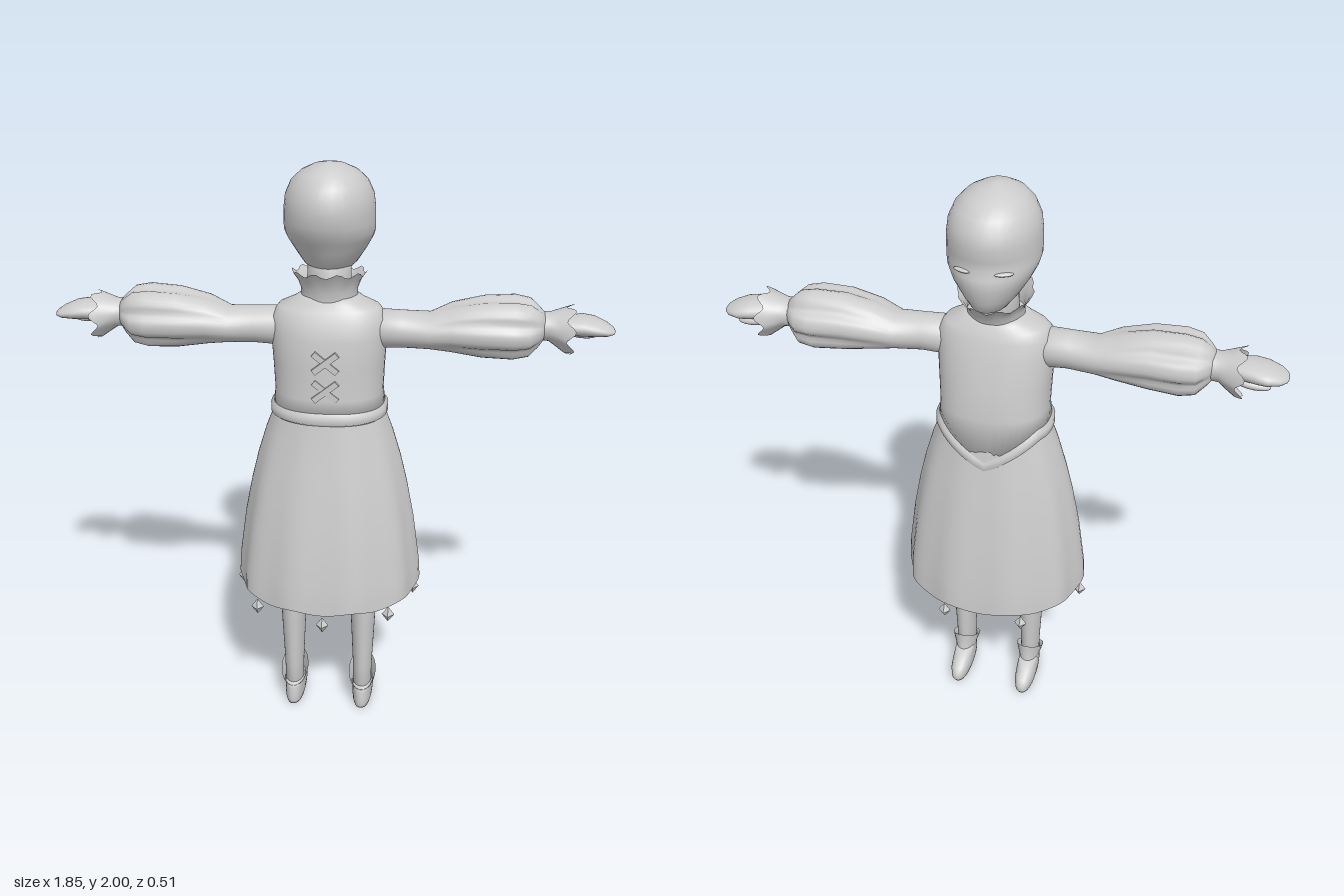
import * as THREE from 'three';

// Closed loft along y. Row: [y, halfWidthX, zBack(+), zFront(-), centreX].
// shape(a, t) may return [radius scale, y shift] for pleats and ruffles.
function loft(rows, { n = 32, p = 1, shape = () => [1, 0], caps = true } = {}) {
  const pos = [], idx = [], pw = v => Math.sign(v) * Math.abs(v) ** p;
  rows.forEach(([y, rx, zb, zf, cx = 0], r) => {
    for (let i = 0; i < n; i++) {
      const a = (i / n) * Math.PI * 2;
      const [s, dy] = shape(a, r / (rows.length - 1));
      pos.push(cx + pw(Math.cos(a)) * rx * s, y + dy, (zb + zf) / 2 + pw(Math.sin(a)) * (zb - zf) / 2 * s);
    }
  });
  for (let r = 0; r < rows.length - 1; r++) for (let i = 0; i < n; i++) {
    const a = r * n + i, b = r * n + (i + 1) % n;
    idx.push(a, a + n, b, b, a + n, b + n);
  }
  if (caps) [0, rows.length - 1].forEach(r => {
    const [y, , zb, zf, cx = 0] = rows[r], c = pos.length / 3;
    pos.push(cx, y, (zb + zf) / 2);
    for (let i = 0; i < n; i++) {
      const a = r * n + i, b = r * n + (i + 1) % n;
      r === 0 ? idx.push(c, a, b) : idx.push(c, b, a);
    }
  });
  const g = new THREE.BufferGeometry();
  g.setAttribute('position', new THREE.Float32BufferAttribute(pos, 3));
  g.setIndex(idx);
  g.computeVertexNormals();
  return g;
}

// Copy reflected across x = 0, with the corner order restored
function mirrored(g) {
  const m = g.clone().scale(-1, 1, 1), ix = m.index.array;
  for (let i = 0; i < ix.length; i += 3) [ix[i + 1], ix[i + 2]] = [ix[i + 2], ix[i + 1]];
  return m;
}

export function createModel() {
  const model = new THREE.Group();
  model.name = 'girlInDress';
  const grey = new THREE.MeshStandardMaterial({ color: 0xcccccc, side: THREE.DoubleSide });
  grey.name = 'plain grey';
  const add = (name, g) => {
    const m = new THREE.Mesh(g, grey);
    m.name = name;
    model.add(m);
    return m;
  };
  const pair = (name, g) => { add(name + 'Left', g); add(name + 'Right', mirrored(g)); };

  // Head with a brow dip and chin towards -z
  add('head', loft([
    [1.632, 0.03, -0.05, -0.14], [1.645, 0.06, 0.02, -0.165], [1.68, 0.09, 0.068, -0.182],
    [1.73, 0.122, 0.095, -0.196], [1.765, 0.14, 0.118, -0.194], [1.79, 0.147, 0.133, -0.183],
    [1.82, 0.147, 0.146, -0.188], [1.86, 0.146, 0.153, -0.194], [1.9, 0.141, 0.15, -0.188],
    [1.94, 0.123, 0.134, -0.164], [1.97, 0.093, 0.106, -0.122], [1.99, 0.054, 0.066, -0.07], [2, 0.012, 0.02, -0.015],
  ]));
  pair('eye', new THREE.SphereGeometry(1, 16, 8).scale(0.03, 0.006, 0.01).rotateY(-0.4).translate(0.065, 1.783, -0.169));
  add('neck', loft([[1.54, 0.075, 0.07, -0.075], [1.7, 0.07, 0.06, -0.075]]));

  // Ruffled collar, lower under the chin
  add('collar', loft([
    [1.565, 0.094, 0.08, -0.09], [1.6, 0.092, 0.082, -0.1], [1.635, 0.104, 0.096, -0.12], [1.66, 0.12, 0.112, -0.14],
  ], {
    n: 48, caps: false,
    shape: (a, t) => [1 + 0.03 * t * Math.cos(10 * a), t * (0.016 * Math.sin(a) - 0.012 + 0.008 * Math.cos(10 * a))],
  }));

  // Pointed waistline: drops to a V at the front
  const vee = a => -0.11 * Math.max(0, 1 - Math.abs(Math.cos(a)) / 0.85) * (Math.sin(a) < 0 ? 1 : 0);
  add('bodice', loft([
    [1.18, 0.19, 0.138, -0.17], [1.25, 0.182, 0.132, -0.162], [1.35, 0.186, 0.131, -0.15], [1.45, 0.192, 0.126, -0.128],
    [1.51, 0.189, 0.11, -0.112], [1.54, 0.165, 0.092, -0.1], [1.56, 0.12, 0.085, -0.09], [1.58, 0.09, 0.075, -0.08],
  ], { n: 48, p: 0.85, shape: (a, t) => [1, t === 0 ? vee(a) : 0] }));
  add('waistband', loft([
    [1.165, 0.188, 0.138, -0.168], [1.172, 0.198, 0.146, -0.177], [1.195, 0.198, 0.145, -0.176], [1.21, 0.184, 0.134, -0.166],
  ], { n: 48, p: 0.85, caps: false, shape: a => [1, vee(a)] }));

  // Pleated bell skirt with a wavy hem
  add('skirt', loft([
    [0.525, 0.322, 0.242, -0.255], [0.6, 0.318, 0.236, -0.25], [0.77, 0.295, 0.208, -0.226], [0.9, 0.27, 0.185, -0.206],
    [1.0, 0.246, 0.165, -0.19], [1.1, 0.216, 0.146, -0.172], [1.16, 0.193, 0.137, -0.165], [1.2, 0.18, 0.13, -0.158],
  ], {
    n: 72, p: 0.95, caps: false,
    shape: (a, t) => [
      1 + (1 - t) * (0.022 * Math.cos(10 * a) - 0.008),
      t === 0 ? -0.03 * Math.abs(Math.sin(a)) + 0.007 * Math.cos(10 * a) : 0,
    ],
  }));

  // Diamond drops hanging under the hem
  const gem = new THREE.OctahedronGeometry(1).scale(0.022, 0.03, 0.022);
  [[0, 0.455, 0.238], [-0.235, 0.48, 0.18], [0.225, 0.478, 0.18], [-0.315, 0.483, -0.02],
    [0.303, 0.477, -0.02], [-0.14, 0.447, -0.213], [0.14, 0.447, -0.213]].forEach(([x, y, z]) => {
    add('hemGem', gem).position.set(x, y, z);
  });

  // Crossed lacing on the back of the bodice
  for (const y of [1.285, 1.383]) for (const s of [-1, 1]) {
    const lace = add('lacing', new THREE.BoxGeometry(0.1, 0.02, 0.012));
    lace.position.set(0, y, 0.131 + s * 0.002);
    lace.rotation.z = s * 0.68;
  }

  // Arms: lofted along y, then laid out along x (row centre is minus the height)
  const arm = (name, rows, opts) => pair(name, loft(rows, opts).rotateZ(-Math.PI / 2));
  arm('sleeve', [
    [0.14, 0.066, 0.065, -0.07, -1.464], [0.24, 0.061, 0.064, -0.07, -1.465], [0.33, 0.06, 0.072, -0.085, -1.462],
    [0.4, 0.08, 0.09, -0.11, -1.475], [0.5, 0.1, 0.102, -0.122, -1.48], [0.6, 0.105, 0.102, -0.134, -1.48],
    [0.65, 0.095, 0.088, -0.124, -1.48], [0.68, 0.066, 0.055, -0.09, -1.482], [0.7, 0.042, 0.025, -0.065, -1.485],
  ], {
    n: 48,
    shape: (a, t) => [1 - (t > 0.3 ? 0.16 * Math.sin((t - 0.3) / 0.7 * Math.PI) : 0) * Math.abs(Math.cos(3 * a + 0.5)) ** 6, 0],
  });
  arm('cuff', [
    [0.685, 0.046, 0.03, -0.075, -1.485], [0.715, 0.047, 0.032, -0.078, -1.483],
    [0.745, 0.062, 0.045, -0.095, -1.478], [0.78, 0.079, 0.06, -0.11, -1.473],
  ], { n: 48, caps: false, shape: (a, t) => [1 + 0.05 * t * Math.cos(7 * a), 0.014 * t * t * Math.cos(7 * a)] });
  arm('hand', [
    [0.7, 0.028, 0.01, -0.06, -1.485], [0.77, 0.03, 0.03, -0.075, -1.488], [0.82, 0.033, 0.037, -0.095, -1.49],
    [0.86, 0.029, 0.037, -0.1, -1.486], [0.9, 0.019, 0.025, -0.08, -1.479], [0.92, 0.01, 0.005, -0.055, -1.475],
    [0.925, 0.003, -0.01, -0.035, -1.475],
  ]);
  pair('thumb', new THREE.SphereGeometry(1, 16, 10).scale(0.055, 0.015, 0.02).rotateZ(-0.1).translate(0.82, 1.452, -0.055));

  // Legs
  const legX = 0.127;
  pair('leg', loft([
    [0.04, 0.032, 0.08, -0.025, legX], [0.17, 0.035, 0.084, -0.032, legX], [0.35, 0.043, 0.094, -0.042, legX],
    [0.5, 0.049, 0.098, -0.05, legX], [0.9, 0.058, 0.09, -0.06, 0.115],
  ]));

  // Shoes with a rounded toe, and a flared cuff rising at the shin
  pair('shoe', loft([
    [0, 0.033, 0.093, -0.128, legX], [0.012, 0.036, 0.097, -0.136, legX], [0.035, 0.038, 0.096, -0.134, legX],
    [0.052, 0.037, 0.094, -0.118, legX], [0.066, 0.036, 0.092, -0.085, legX], [0.09, 0.035, 0.088, -0.05, legX],
  ], { p: 0.85 }));
  pair('shoeCuff', loft([
    [0.06, 0.036, 0.09, -0.07, legX], [0.085, 0.038, 0.09, -0.045, legX], [0.125, 0.05, 0.094, -0.048, legX],
  ], { caps: false, shape: (a, t) => [1, t === 1 ? -0.043 * Math.sin(a) : -0.01 * t * Math.sin(a)] }));

  return model;
}
